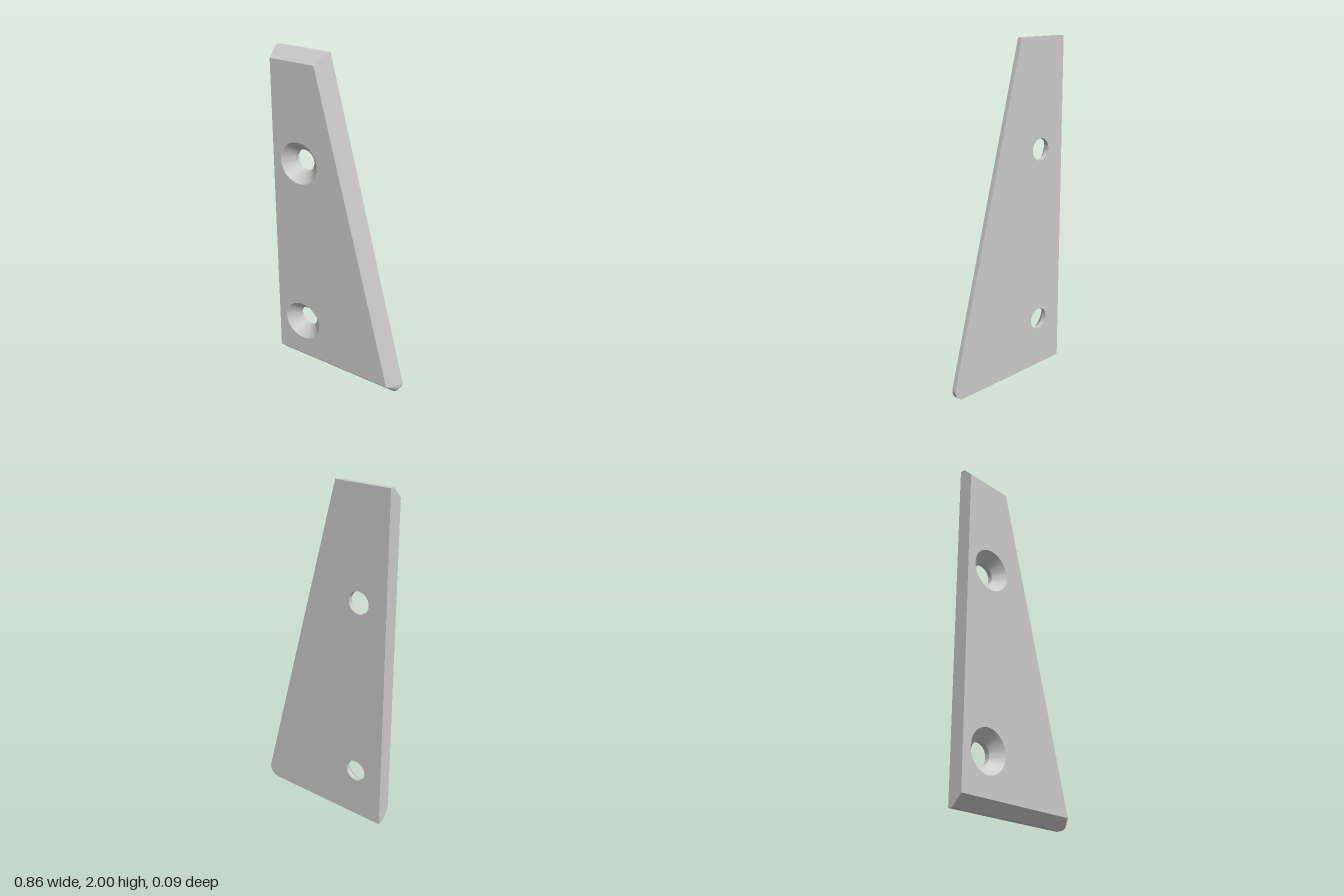
import * as THREE from 'three';
import { toCreasedNormals } from 'three/addons/utils/BufferGeometryUtils.js';

const BACK = -0.045, BREAK = -0.016, FRONT = 0.045; // z levels of the plate
const BEVEL = 0.061, LEFT = -0.428, TOP = 2;
const CORNER = new THREE.Vector2(0.367, BEVEL);     // centre of the rounded corner
const SLOPE = THREE.MathUtils.degToRad(15);
const HOLES = [[-0.25, 0.305], [-0.25, 1.365]];
const RIM = 0.125, BORE = 0.065, SEGMENTS = 48, ARC = 16;

// Plate outline, counter-clockwise, with its bottom, slanted and top edges moved in
function outline(inset) {
  const r = BEVEL - inset, points = [new THREE.Vector2(LEFT, inset)];
  for (let i = 0; i <= ARC; i++) {
    const a = THREE.MathUtils.lerp(-Math.PI / 2, SLOPE, i / ARC);
    points.push(new THREE.Vector2(CORNER.x + r * Math.cos(a), CORNER.y + r * Math.sin(a)));
  }
  const end = points[points.length - 1], top = TOP - inset;
  points.push(new THREE.Vector2(end.x - (top - end.y) * Math.tan(SLOPE), top));
  points.push(new THREE.Vector2(LEFT, top));
  return points;
}

// Flat face with round openings; sign -1 makes it face backwards
function face(inset, radius, z, sign) {
  let points = outline(inset).map(p => new THREE.Vector2(p.x * sign, p.y));
  points = points.filter((p, i) => i === 0 || p.distanceTo(points[i - 1]) > 1e-6);
  const shape = new THREE.Shape(points);
  for (const [x, y] of HOLES) {
    shape.holes.push(new THREE.Path().absarc(x * sign, y, radius, 0, Math.PI * 2, true));
  }
  const geometry = new THREE.ShapeGeometry(shape, SEGMENTS / 2);
  if (sign < 0) geometry.rotateY(Math.PI);
  return geometry.translate(0, 0, z);
}

// Straight rim at the back, bevel towards the front, upright left side
function edges() {
  const ring = (inset, z) => outline(inset).map(p => new THREE.Vector3(p.x, p.y, z));
  const rings = [ring(0, BACK), ring(0, BREAK), ring(BEVEL, FRONT)];
  const positions = [];
  const triangle = (a, b, c) => {
    const area = b.clone().sub(a).cross(c.clone().sub(a)).length();
    if (area > 1e-9) for (const p of [a, b, c]) positions.push(p.x, p.y, p.z);
  };
  for (let k = 0; k < 2; k++) {
    const low = rings[k], high = rings[k + 1], n = low.length;
    for (let i = 0; i < n; i++) {
      const j = (i + 1) % n;
      triangle(low[i], low[j], high[j]);
      triangle(low[i], high[j], high[i]);
    }
  }
  const geometry = new THREE.BufferGeometry();
  geometry.setAttribute('position', new THREE.Float32BufferAttribute(positions, 3));
  return toCreasedNormals(geometry, 0.2);
}

// Countersunk screw hole: cone, then straight bore, facing inwards
function screwHole() {
  const profile = [[RIM, FRONT], [BORE, BREAK], [BORE, BACK]].map(p => new THREE.Vector2(...p));
  const geometry = new THREE.LatheGeometry(profile, SEGMENTS).rotateX(Math.PI / 2);
  return toCreasedNormals(geometry, 0.5);
}

export function createModel() {
  const model = new THREE.Group();
  model.name = 'taperedPlate';
  const material = new THREE.MeshStandardMaterial({ color: 0xcccccc });
  const add = (name, geometry) => {
    const mesh = new THREE.Mesh(geometry, material);
    mesh.name = name;
    model.add(mesh);
    return mesh;
  };
  add('frontFace', face(BEVEL, RIM, FRONT, 1));
  add('backFace', face(0, BORE, BACK, -1));
  add('bevelledEdges', edges());
  const hole = screwHole();
  HOLES.forEach(([x, y], i) => add(i ? 'upperScrewHole' : 'lowerScrewHole', hole).position.set(x, y, 0));
  return model;
}
